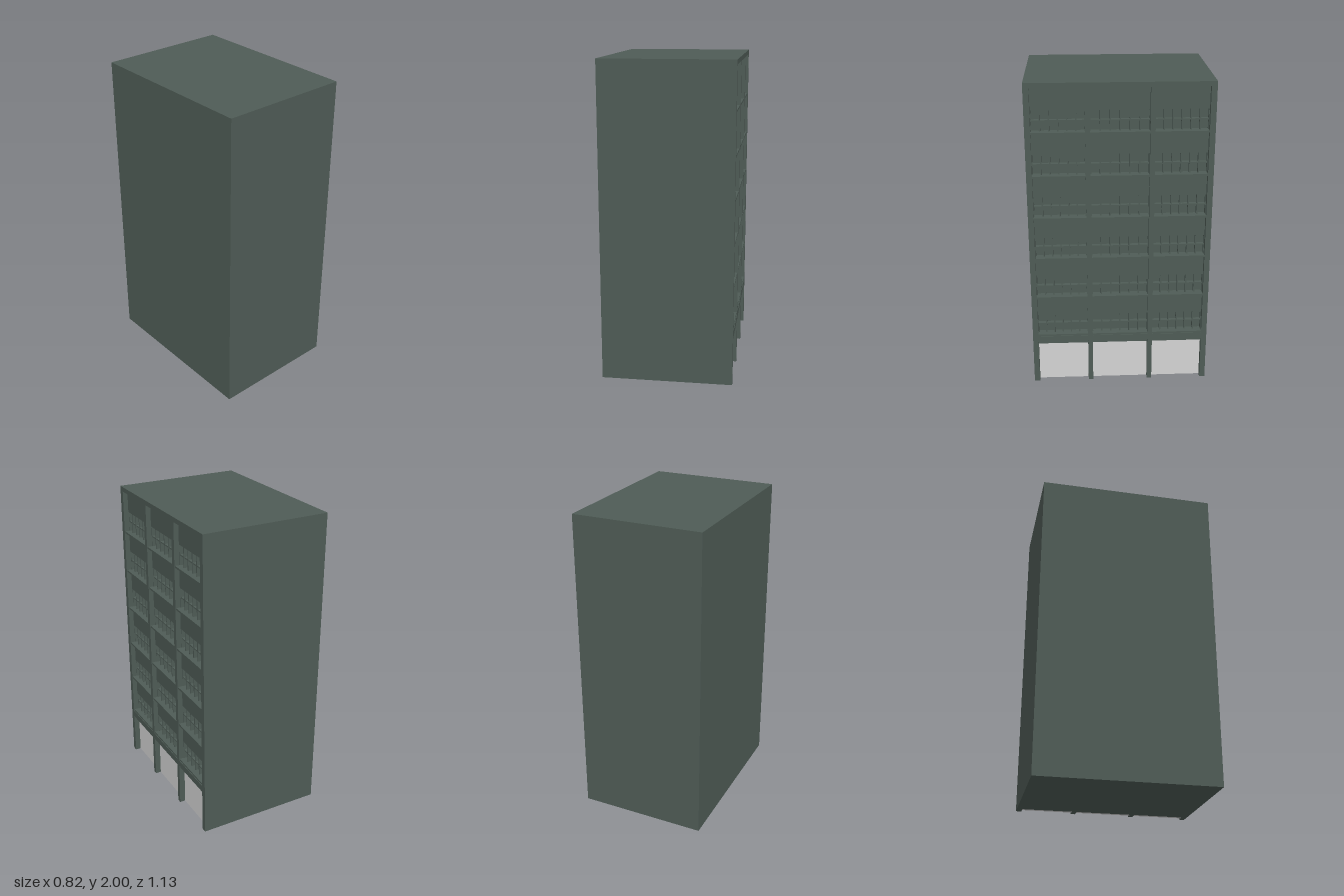
import * as THREE from 'three';

const concrete = new THREE.MeshStandardMaterial({ name: 'dark green concrete', color: 0x4f5c56 });
const shutter = new THREE.MeshStandardMaterial({ name: 'pale shutter', color: 0xd4d4d4 });

const H = 2, W = 0.412, D = 0.565;   // height, half width, half depth
const GLASS = 0.35, WALL = 0.38;     // x of the window panes and of the recessed wall
const FLOORS = 6, PITCH = 0.271;

// Box given by its limits on each axis
function block(parent, name, x0, x1, y0, y1, z0, z1, material = concrete) {
  const mesh = new THREE.Mesh(new THREE.BoxGeometry(x1 - x0, y1 - y0, z1 - z0), material);
  mesh.position.set((x0 + x1) / 2, (y0 + y1) / 2, (z0 + z1) / 2);
  mesh.name = name;
  parent.add(mesh);
  return mesh;
}

// Six by two grid of small panes behind deep mullions
function windowBand(parent, y0, y1, z0, z1) {
  const group = new THREE.Group();
  group.name = 'windowBand';
  const columns = 6, t = 0.004;
  for (let i = 0; i <= columns; i++) {
    const z = z0 + (z1 - z0) * i / columns;
    block(group, 'mullion', GLASS, WALL - 0.003, y0, y1, Math.max(z0, z - t), Math.min(z1, z + t));
  }
  const mid = (y0 + y1) / 2;
  block(group, 'transom', GLASS, WALL - 0.005, mid - t, mid + t, z0, z1);
  parent.add(group);
}

export function createModel() {
  const model = new THREE.Group();
  model.name = 'officeBlock';

  // Main body, whose street face lies behind the panes
  block(model, 'body', -W, GLASS, 0, H, -D, D);

  // Piers and the full-width beams, flush with the street face
  for (const [z0, z1] of [[-D, -0.53], [-0.208, -0.178], [0.178, 0.208], [0.53, D]]) {
    block(model, 'pier', GLASS, W, 0, H, z0, z1);
  }
  block(model, 'roofBeam', GLASS, W, 1.97, H, -D, D);
  block(model, 'firstFloorBeam', GLASS, W, 0.295, 0.335, -D, D);

  // Three bays between the piers
  for (const [z0, z1] of [[-0.53, -0.208], [-0.178, 0.178], [0.208, 0.53]]) {
    const bay = new THREE.Group();
    bay.name = 'bay';
    block(bay, 'shopShutter', GLASS, WALL - 0.005, 0, 0.28, z0, z1, shutter);
    block(bay, 'shutterLintel', GLASS, W - 0.006, 0.28, 0.295, z0, z1);
    for (let f = 0; f < FLOORS; f++) {
      const sill = 0.335 + f * PITCH;
      const head = sill + 0.14;
      const top = f === FLOORS - 1 ? 1.97 : sill + PITCH;
      block(bay, 'sillLedge', GLASS, W - 0.004, sill, sill + 0.012, z0, z1);
      windowBand(bay, sill + 0.012, head, z0, z1);
      block(bay, 'spandrel', GLASS, WALL, head, top, z0, z1);
    }
    model.add(bay);
  }
  return model;
}
